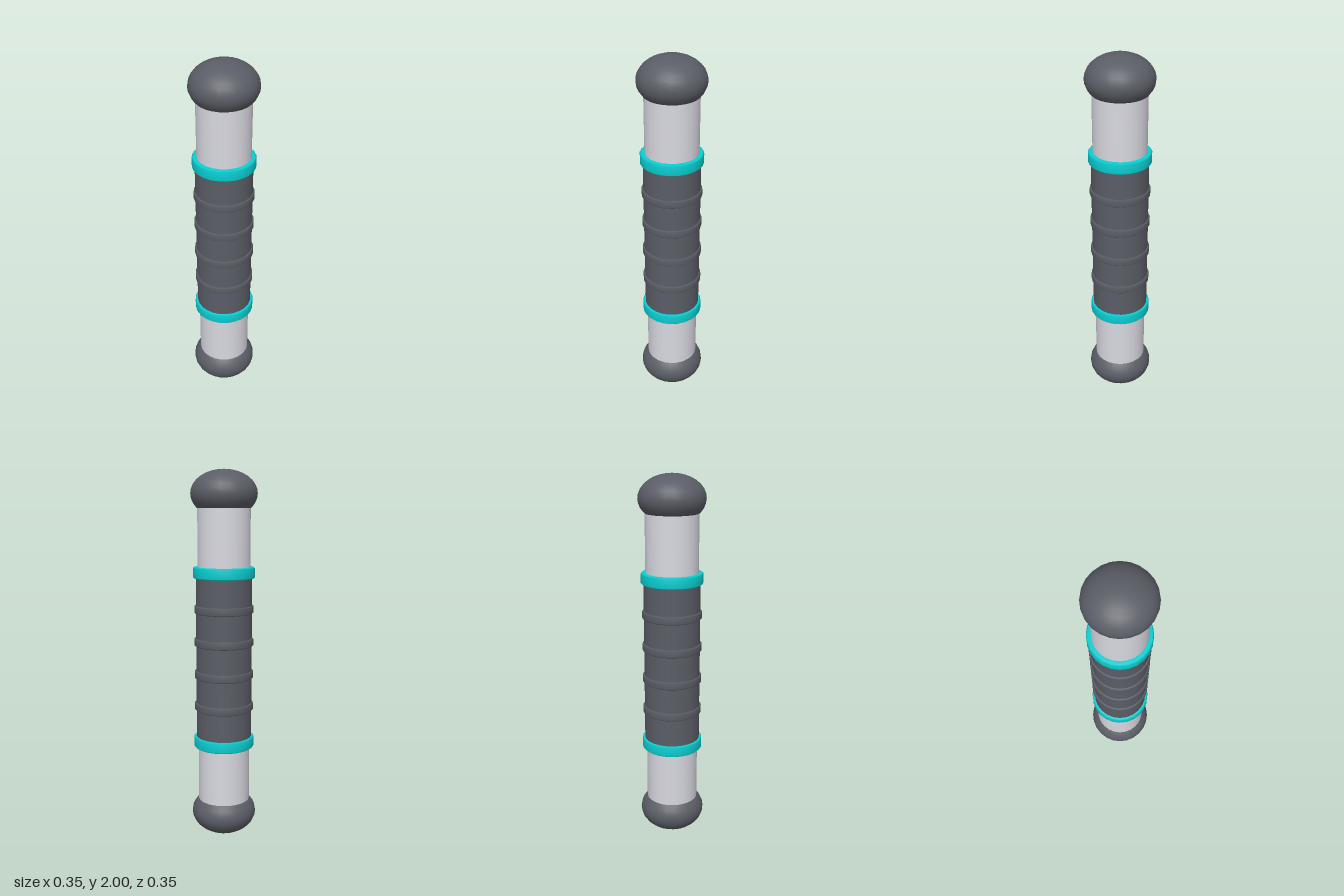
import * as THREE from 'three';

const SEGMENTS = 24;

export function createModel() {
  const group = new THREE.Group();
  const darkGrey = new THREE.MeshStandardMaterial({ name: 'darkGrey', color: 0x5a5d65 });
  const paleGrey = new THREE.MeshStandardMaterial({ name: 'paleGrey', color: 0xd8d8e0 });
  const turquoise = new THREE.MeshStandardMaterial({ name: 'turquoise', color: 0x08ced1 });

  const add = (name, geometry, material, y) => {
    const mesh = new THREE.Mesh(geometry, material);
    mesh.name = name;
    mesh.position.y = y;
    group.add(mesh);
    return mesh;
  };

  // Solid band around the shaft with a softened outer rim
  const band = (inner, outer, height, bevel) => {
    const h = height / 2;
    return new THREE.LatheGeometry([
      [inner, -h], [outer - bevel, -h], [outer, -h + bevel],
      [outer, h - bevel], [outer - bevel, h], [inner, h],
    ].map(([r, y]) => new THREE.Vector2(r, y)), SEGMENTS);
  };

  // Central grip
  add('grip', new THREE.CylinderGeometry(0.151, 0.151, 0.93, SEGMENTS), darkGrey, 1);

  // Raised ridges on the grip
  const ridge = band(0.14, 0.16, 0.042, 0.005);
  for (let i = 0; i < 4; i++) add(`gripRidge${i + 1}`, ridge, darkGrey, 0.735 + i * 0.178);

  // Mirrored ends: shaft, collar and flattened round cap
  const shaft = new THREE.CylinderGeometry(0.141, 0.141, 0.4, SEGMENTS);
  const collar = band(0.135, 0.165, 0.06, 0.006);
  const cap = new THREE.SphereGeometry(0.177, SEGMENTS, 16);
  cap.scale(1, 0.125 / 0.177, 1);
  for (const [side, s] of [['upper', 1], ['lower', -1]]) {
    add(`${side}Shaft`, shaft, paleGrey, 1 + s * 0.66);
    add(`${side}Collar`, collar, turquoise, 1 + s * 0.465);
    add(`${side}Cap`, cap, darkGrey, 1 + s * 0.875);
  }
  return group;
}
